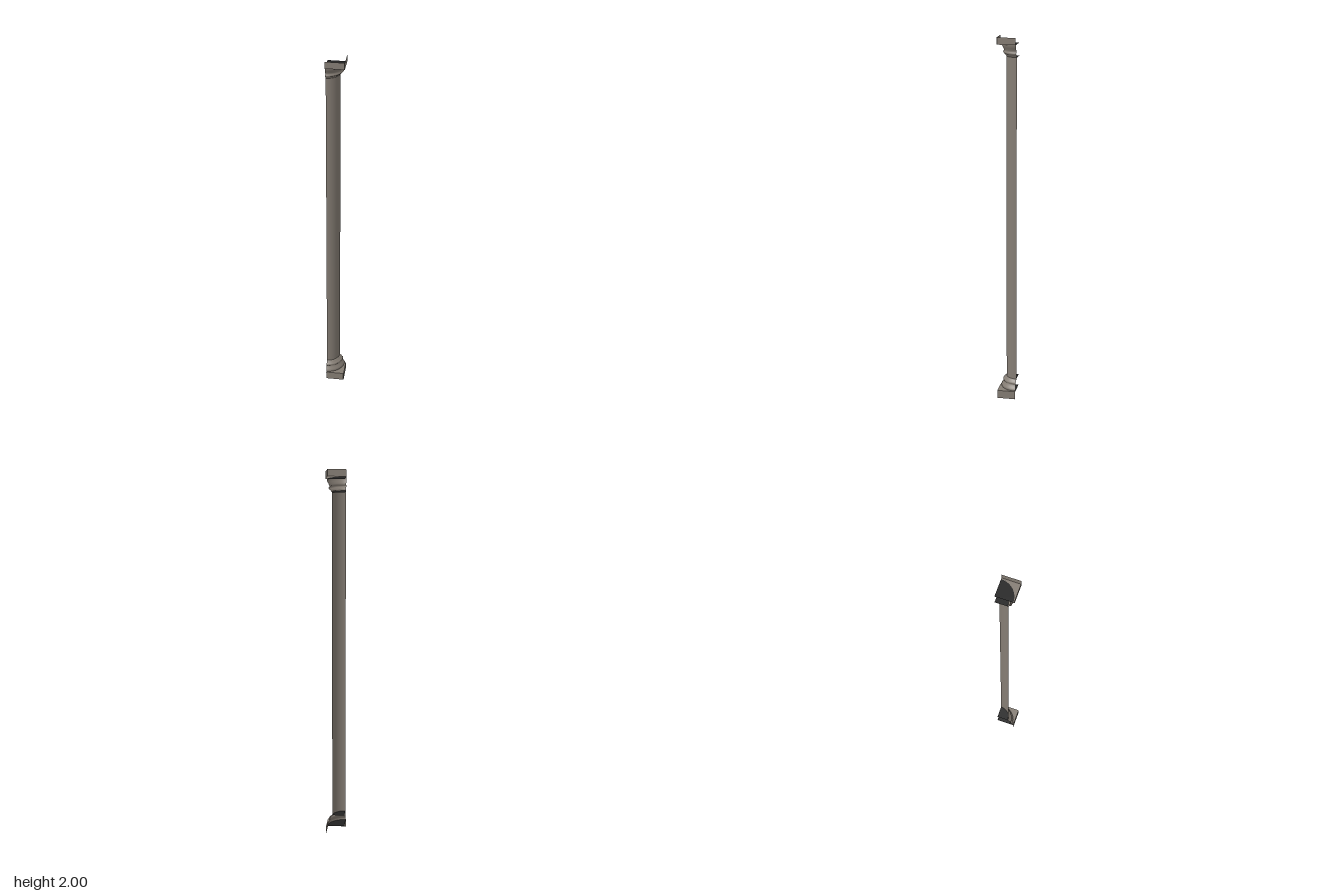
import * as THREE from 'three';

const SIDE = 0.1;      // plan size of the quarter column
const BEVEL = 0.004;   // rounding of the outer corner
const QUARTER = Math.PI / 2;

const stone = new THREE.MeshStandardMaterial({ color: 0x857d74, side: THREE.DoubleSide });
stone.name = 'stone';
const dark = new THREE.MeshStandardMaterial({ color: 0x222222, side: THREE.DoubleSide });
dark.name = 'darkInfill';

function add(group, name, geometry, material, x = 0, y = 0, z = 0) {
  const mesh = new THREE.Mesh(geometry, material);
  mesh.name = name;
  mesh.position.set(x, y, z);
  group.add(mesh);
  return mesh;
}

// Quarter turn of a [radius, height] profile around the column axis
function quarterLathe(profile) {
  const points = profile.map(([r, y]) => new THREE.Vector2(r, y));
  return new THREE.LatheGeometry(points, 20, 0, QUARTER);
}

// Flat quarter disc
function quarterDisc(radius) {
  return new THREE.CircleGeometry(radius, 20, 0, QUARTER).rotateX(QUARTER);
}

// Flat square ledge outside the round moulding
function ledgeGeometry(radius) {
  const s = new THREE.Shape();
  s.moveTo(radius, 0);
  s.lineTo(SIDE, 0);
  s.lineTo(SIDE, SIDE - BEVEL);
  s.absarc(SIDE - BEVEL, SIDE - BEVEL, BEVEL, 0, QUARTER, false);
  s.lineTo(0, SIDE);
  s.lineTo(0, radius);
  s.absarc(0, 0, radius, QUARTER, 0, true);
  return new THREE.ShapeGeometry(s, 16).rotateX(QUARTER);
}

// Two outer walls joined by a rounded corner, open at the back
function addWalls(group, y0, height) {
  const flat = SIDE - BEVEL;
  const y = y0 + height / 2;
  add(group, 'frontWall', new THREE.PlaneGeometry(flat, height), stone, flat / 2, y, SIDE);
  add(group, 'sideWall', new THREE.PlaneGeometry(flat, height).rotateY(QUARTER), stone, SIDE, y, flat / 2);
  add(group, 'cornerWall', new THREE.CylinderGeometry(BEVEL, BEVEL, height, 4, 1, true, 0, QUARTER), stone, flat, y, flat);
}

export function createModel() {
  const model = new THREE.Group();
  model.name = 'quarterColumn';
  const column = new THREE.Group();
  column.name = 'column';
  column.position.set(-SIDE / 2, 0, -SIDE / 2);
  model.add(column);

  // Shaft
  add(column, 'shaft', quarterLathe([[0.066, 0.1], [0.066, 1.9]]), stone);

  // Base mouldings, repeated upside down for the capital
  const moulding = [
    [0.093, 0.045], [0.095, 0.051], [0.093, 0.058], [0.088, 0.064], [0.083, 0.073],
    [0.08, 0.079], [0.084, 0.082], [0.085, 0.087], [0.083, 0.092],
    [0.076, 0.094], [0.074, 0.101], [0.066, 0.106],
  ];
  const capitalProfile = [
    [0.066, 1.894], [0.072, 1.9], [0.073, 1.906], [0.08, 1.909], [0.084, 1.914],
    [0.083, 1.92], [0.078, 1.923], [0.081, 1.931], [0.086, 1.942],
    [0.092, 1.952], [0.093, 1.963],
  ];

  const base = new THREE.Group();
  base.name = 'base';
  column.add(base);
  addWalls(base, 0, 0.045);
  add(base, 'plinthLedge', ledgeGeometry(0.093), stone, 0, 0.045);
  add(base, 'baseMoulding', quarterLathe(moulding), stone);
  add(base, 'plinthInfill', quarterDisc(0.093), dark, 0, 0.045);
  add(base, 'baseInfill', quarterDisc(0.066), dark, 0, 0.108);

  const capital = new THREE.Group();
  capital.name = 'capital';
  column.add(capital);
  addWalls(capital, 1.963, 0.037);
  add(capital, 'abacusLedge', ledgeGeometry(0.093), stone, 0, 1.963);
  add(capital, 'capitalMoulding', quarterLathe(capitalProfile), stone);
  add(capital, 'abacusInfill', quarterDisc(0.093), dark, 0, 1.963);
  add(capital, 'capitalInfill', quarterDisc(0.066), dark, 0, 1.894);

  return model;
}
